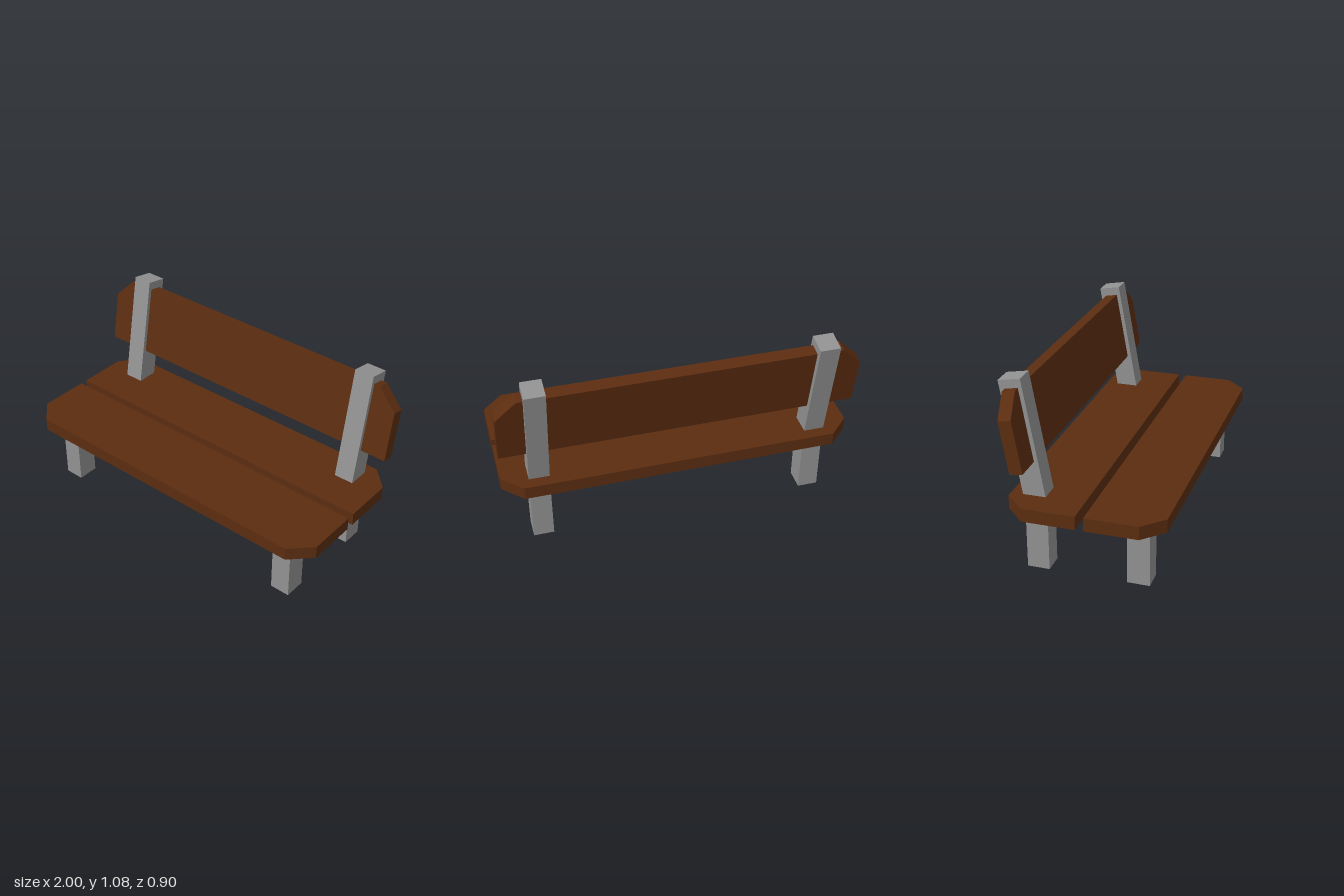
import * as THREE from 'three';

const wood = new THREE.MeshStandardMaterial({ name: 'brown wood', color: 0x5c2d10 });
const stone = new THREE.MeshStandardMaterial({ name: 'grey concrete', color: 0x929292 });

const TILT = THREE.MathUtils.degToRad(-10);
const WIDTH = 0.405, CUT = 0.115;

// Plank with two clipped corners on its +y edge, lying in z 0..thickness
function plankGeometry(thickness) {
  const shape = new THREE.Shape([
    [-1, 0], [1, 0], [1, WIDTH - CUT], [1 - CUT, WIDTH], [CUT - 1, WIDTH], [-1, WIDTH - CUT],
  ].map(([x, y]) => new THREE.Vector2(x, y)));
  return new THREE.ExtrudeGeometry(shape, { depth: thickness, bevelEnabled: false });
}

export function createModel() {
  const bench = new THREE.Group();
  bench.name = 'bench';

  const add = (name, geometry, material, x, y, z, tilt = 0) => {
    const mesh = new THREE.Mesh(geometry, material);
    mesh.name = name;
    mesh.position.set(x, y, z);
    mesh.rotation.x = tilt;
    bench.add(mesh);
  };

  // Seat planks, clipped corners facing outward
  add('frontSeatPlank', plankGeometry(0.075), wood, 0, 0.43, 0.045, Math.PI / 2);
  add('rearSeatPlank', plankGeometry(0.075), wood, 0, 0.355, 0, -Math.PI / 2);

  // Leaning backrest, placed by its lower front edge
  const backrest = plankGeometry(0.072).translate(0, 0, -0.072);
  add('backrestPlank', backrest, wood, 0, 0.625, -0.27, TILT);

  // Legs and leaning posts, mirrored left and right
  const leg = new THREE.BoxGeometry(0.115, 0.356, 0.123);
  const post = new THREE.BoxGeometry(0.115, 0.68, 0.123).translate(0, -0.34, -0.0615);
  for (const [side, x] of [['left', 0.792], ['right', -0.792]]) {
    add(`${side}FrontLeg`, leg, stone, x, 0.178, 0.288);
    add(`${side}RearLeg`, leg, stone, x, 0.178, -0.267);
    add(`${side}BackPost`, post, stone, x, 1.075, -0.327, TILT);
  }
  return bench;
}
